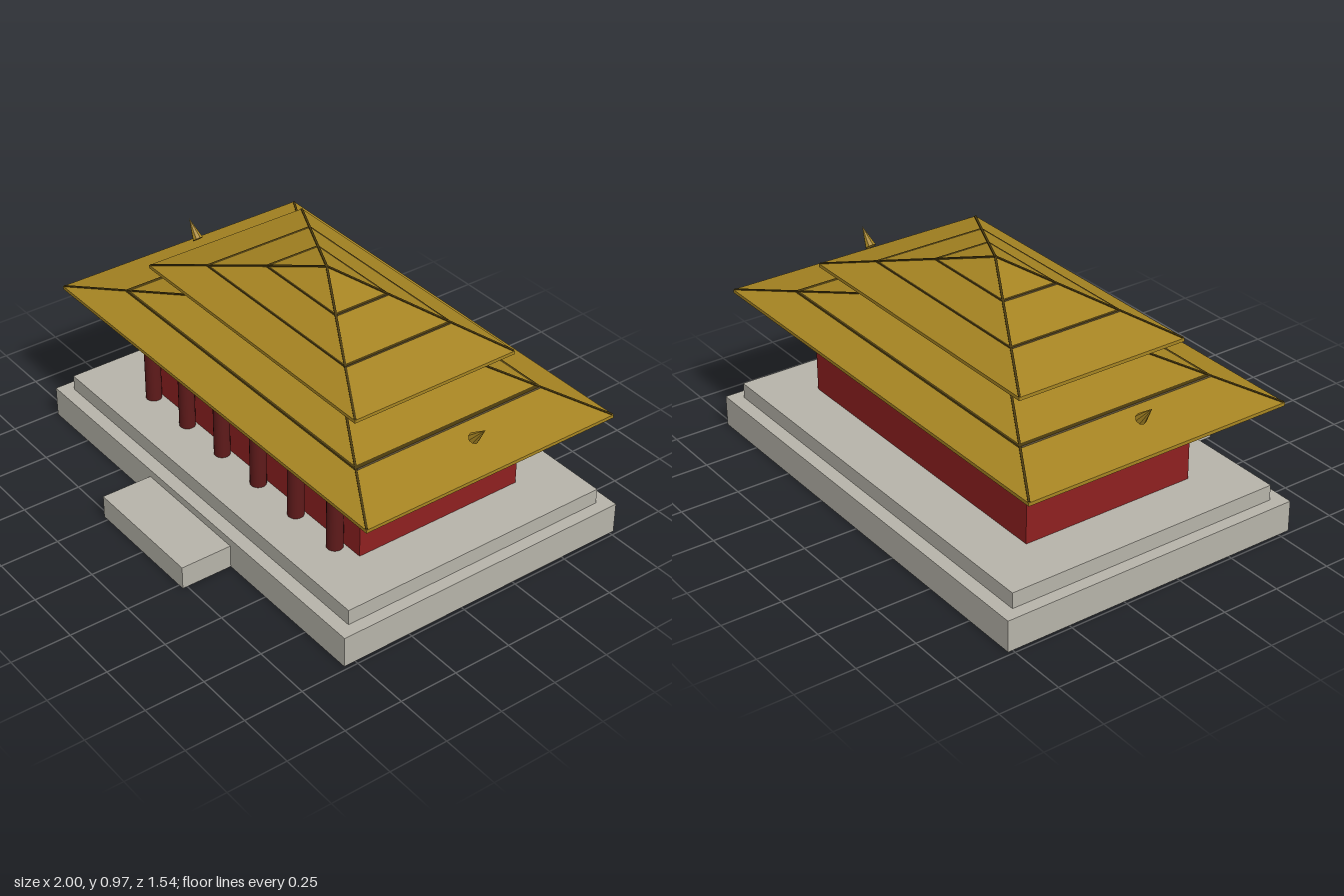
import * as THREE from 'three';

const mat = (name, color, flat = false) => {
  const m = new THREE.MeshStandardMaterial({ color, flatShading: flat });
  m.name = name;
  return m;
};

export function createModel() {
  const stone = mat('pale stone', 0xb6b3a9);
  const red = mat('wall red', 0x8e2020);
  const darkRed = mat('column red', 0x5e1a1a);
  const gold = mat('roof gold', 0xa68422, true);
  const trim = mat('roof seam', 0x4a3a0e, true);
  const model = new THREE.Group();
  const CZ = -0.11; // centre of the hall in depth

  const add = (parent, name, geometry, material, x = 0, y = 0, z = 0) => {
    const mesh = new THREE.Mesh(geometry, material);
    mesh.name = name;
    mesh.position.set(x, y, z);
    parent.add(mesh);
    return mesh;
  };
  const box = (name, material, w, y0, y1, z0, z1) =>
    add(model, name, new THREE.BoxGeometry(w, y1 - y0, z1 - z0), material, 0, (y0 + y1) / 2, (z0 + z1) / 2);

  // Terraces, front step and hall
  box('lowerTerrace', stone, 1.97, 0, 0.132, -0.77, 0.55);
  box('upperTerrace', stone, 1.866, 0.132, 0.198, -0.713, 0.493);
  box('frontStep', stone, 0.55, 0, 0.099, 0.54, 0.77);
  box('hallWalls', red, 1.424, 0.198, 0.59, -0.49, 0.272);

  // Row of front columns
  for (let i = 0; i < 6; i++) {
    add(model, 'frontColumn', new THREE.CylinderGeometry(0.033, 0.033, 0.385, 20), darkRed,
      -0.608 + i * 0.2432, 0.3905, 0.308);
  }

  // Four-sided frustum with a rectangular plan; top and bottom are scale factors
  const frustum = (top, bottom, hx, hz, y0, y1) =>
    new THREE.CylinderGeometry(top * Math.SQRT2, bottom * Math.SQRT2, y1 - y0, 4, 1, false, Math.PI / 4)
      .scale(hx, 1, hz).translate(0, (y0 + y1) / 2, 0);

  // Hipped roof: eave slab, overlapping tile courses, seams and hip ridges
  const roof = (name, hx, hz, y0, yEave, yApex, courses) => {
    const group = new THREE.Group();
    group.name = name;
    group.position.z = CZ;
    model.add(group);
    const rise = yApex - yEave;
    add(group, 'eave', frustum(1, 1, hx, hz, y0, yEave), gold);
    for (let i = 0; i < courses; i++) {
      const bottom = 1 - i / courses, top = 1 - (i + 1) / courses;
      const y = yEave + (rise * i) / courses;
      add(group, 'tileCourse', frustum(top, bottom, hx, hz, y, y + rise / courses), gold);
      if (i > 0) {
        add(group, 'courseSeam', frustum(bottom + 0.003, bottom + 0.009, hx, hz, y - 0.004, y + 0.003), trim);
      }
    }
    for (const sx of [-1, 1]) for (const sz of [-1, 1]) {
      const a = new THREE.Vector3(sx * (hx - 0.004), yEave, sz * (hz - 0.004));
      const b = new THREE.Vector3(0, yApex, 0);
      const ridge = add(group, 'hipRidge', new THREE.BoxGeometry(0.009, 0.007, a.distanceTo(b)), trim);
      ridge.position.copy(a).add(b).multiplyScalar(0.5);
      ridge.rotation.order = 'YXZ';
      const d = b.clone().sub(a);
      ridge.rotation.set(-Math.atan2(d.y, Math.hypot(d.x, d.z)), Math.atan2(d.x, d.z), 0);
    }
  };
  roof('lowerRoof', 1, 0.583, 0.58, 0.594, 0.79, 4);
  roof('upperRoof', 0.665, 0.377, 0.768, 0.782, 0.963, 3);

  // Outward-leaning finials at both ends
  for (const s of [-1, 1]) {
    const finial = add(model, 'finial', new THREE.ConeGeometry(0.023, 0.092, 8), gold, s * 0.91, 0.702, CZ);
    finial.rotation.z = -s * 0.72;
  }
  return model;
}
